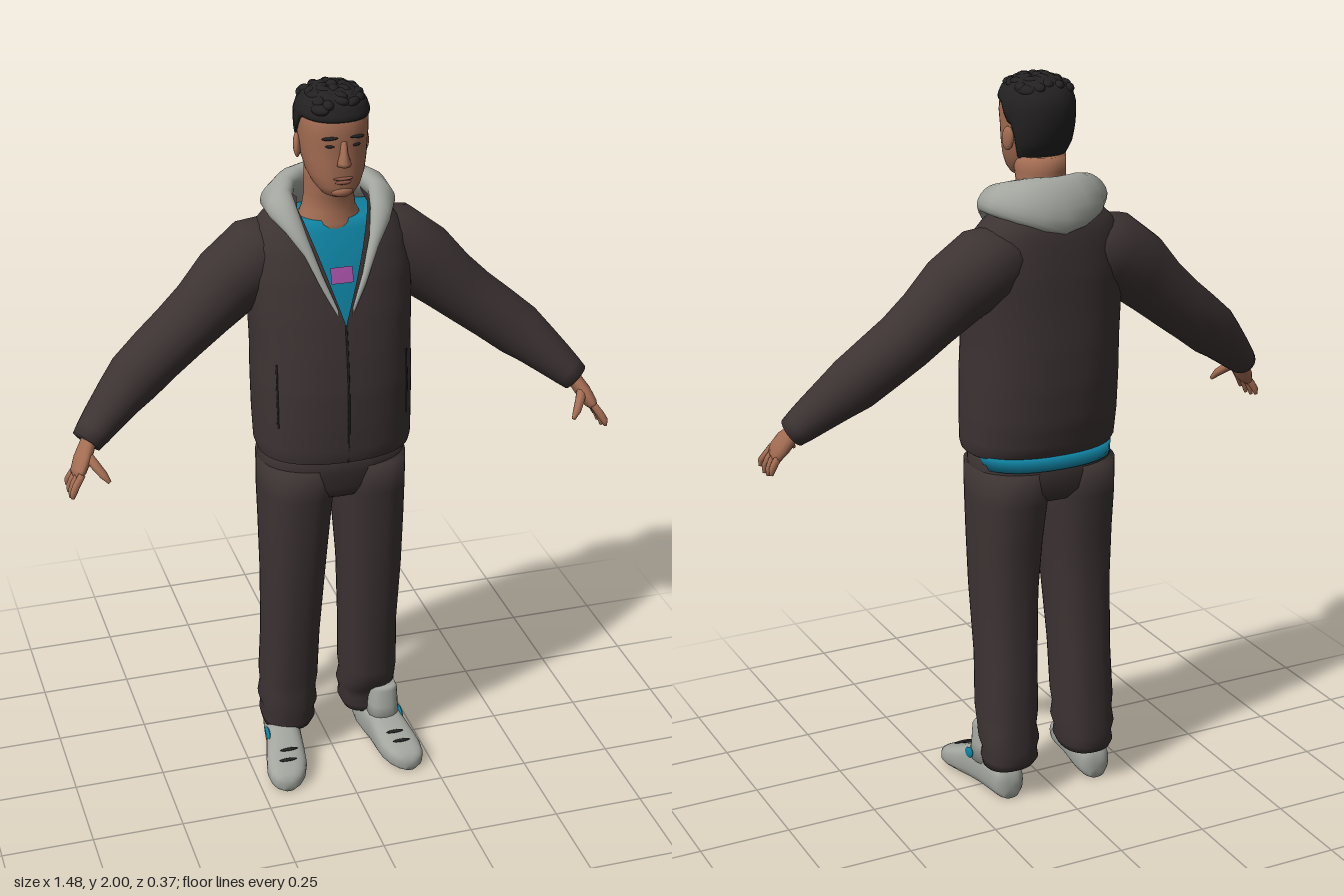
import * as THREE from 'three';

const mat = (name, color, side = THREE.FrontSide) => {
  const m = new THREE.MeshStandardMaterial({ color, side });
  m.name = name;
  return m;
};
const V = (x, y, z) => new THREE.Vector3(x, y, z);

// Skin a list of point rings into one smooth surface, facing outward.
function skin(rings, { closed = true, caps = true } = {}) {
  const n = rings[0].length, pos = [], idx = [];
  rings.forEach(r => r.forEach(p => pos.push(p.x, p.y, p.z)));
  for (let i = 0; i < rings.length - 1; i++)
    for (let j = 0; j < (closed ? n : n - 1); j++) {
      const a = i * n + j, b = i * n + (j + 1) % n;
      idx.push(a, b, b + n, a, b + n, a + n);
    }
  if (caps) [0, rings.length - 1].forEach(k => {
    const c = rings[k].reduce((s, p) => s.add(p), V(0, 0, 0)).divideScalar(n), ci = pos.length / 3;
    pos.push(c.x, c.y, c.z);
    for (let j = 0; j < n; j++) {
      const a = k * n + j, b = k * n + (j + 1) % n;
      k ? idx.push(a, b, ci) : idx.push(b, a, ci);
    }
  });
  const at = i => V(pos[3 * i], pos[3 * i + 1], pos[3 * i + 2]);
  let vol = 0;
  for (let i = 0; i < idx.length; i += 3) vol += at(idx[i]).dot(at(idx[i + 1]).cross(at(idx[i + 2])));
  if (vol < 0) idx.reverse();
  const g = new THREE.BufferGeometry();
  g.setAttribute('position', new THREE.Float32BufferAttribute(pos, 3));
  g.setIndex(idx);
  g.computeVertexNormals();
  return g;
}

// Profile tables: [y, half width, front z, back z].
function row(table, y) {
  let i = 0;
  while (i < table.length - 2 && y > table[i + 1][0]) i++;
  const a = table[i], b = table[i + 1], t = THREE.MathUtils.clamp((y - a[0]) / (b[0] - a[0]), 0, 1);
  return a.map((v, k) => v + (b[k] - v) * t);
}
// Point on an oval section; angle 0 is the front.
const oval = ([y, rx, zf, zb], t, off = 0, n = 2.3, cx = 0) => {
  const p = v => Math.sign(v) * Math.abs(v) ** (2 / n);
  return V(cx + (rx + off) * p(Math.sin(t)), y, (zf + zb) / 2 + ((zf - zb) / 2 + off) * p(Math.cos(t)));
};
const TAU = Math.PI * 2;
const ringOf = (r, off, n, cx, N = 32) => Array.from({ length: N }, (_, j) => oval(r, j / N * TAU, off, n, cx));

// Limb along points [x, y, z, thickness, breadth].
function limb(pts, N = 14) {
  const P = pts.map(p => V(p[0], p[1], p[2]));
  return skin(P.map((p, i) => {
    const d = P[Math.min(i + 1, P.length - 1)].clone().sub(P[Math.max(i - 1, 0)]).normalize();
    const u = V(0, 0, 1).cross(d).normalize(), v = d.clone().cross(u);
    return Array.from({ length: N }, (_, j) => p.clone()
      .addScaledVector(u, pts[i][3] * Math.cos(j / N * TAU))
      .addScaledVector(v, pts[i][4] * Math.sin(j / N * TAU)));
  }));
}

const TORSO = [[1.0, .206, .155, -.148], [1.02, .212, .16, -.162], [1.1, .214, .162, -.178], [1.2, .215, .16, -.185],
  [1.3, .214, .148, -.185], [1.4, .218, .13, -.18], [1.5, .22, .105, -.178], [1.57, .208, .08, -.172],
  [1.62, .185, .055, -.165], [1.66, .14, .035, -.145], [1.69, .09, .01, -.11]];
const HEAD = [[1.718, .02, .08, .03], [1.728, .042, .099, 0], [1.75, .06, .106, -.03], [1.78, .074, .106, -.06],
  [1.82, .082, .107, -.085], [1.86, .086, .107, -.098], [1.895, .088, .112, -.103], [1.93, .087, .106, -.102],
  [1.955, .077, .092, -.09], [1.972, .058, .068, -.07], [1.982, .03, .035, -.04]];
const NECK = [[1.58, .1, .05, -.11], [1.63, .085, .042, -.1], [1.66, .07, .034, -.095], [1.7, .064, .034, -.09],
  [1.75, .066, .05, -.09], [1.79, .066, .05, -.09]];
const LEG = [[.09, .055, .19, .03, -.128], [.115, .043, .195, .042, -.146], [.14, .046, .192, .038, -.14],
  [.17, .038, .2, .05, -.146], [.21, .042, .194, .044, -.14], [.25, .037, .197, .052, -.143], [.4, .034, .192, .066, -.135],
  [.6, .024, .196, .095, -.126], [.75, .012, .199, .108, -.135], [.87, .0, .201, .118, -.15], [.96, .0, .2, .122, -.152]];

export function createModel() {
  const root = new THREE.Group();
  const cloth = mat('charcoal cloth', 0x3d3333, THREE.DoubleSide), grey = mat('pale grey', 0xa3a69f, THREE.DoubleSide);
  const skinTone = mat('skin', 0xa46d53), lip = mat('lips', 0x8a5646), teal = mat('teal shirt', 0x0f83a3, THREE.DoubleSide);
  const pink = mat('pink print', 0xa652a6, THREE.DoubleSide), hairM = mat('black hair', 0x232122, THREE.DoubleSide);
  const add = (name, geo, m) => {
    const o = new THREE.Mesh(geo, m);
    o.name = name;
    root.add(o);
    return o;
  };
  const blob = (name, m, p, s, rot = [0, 0, 0]) => {
    const o = add(name, new THREE.SphereGeometry(1, 14, 10), m);
    o.position.set(...p);
    o.scale.set(...s);
    o.rotation.set(...rot);
    return o;
  };
  const cord = (name, pts, r, m) => add(name, new THREE.TubeGeometry(new THREE.CatmullRomCurve3(pts), 16, r, 6), m);

  // Jacket body, open in a V at the front
  const vWidth = y => Math.max(0, .088 * (y - 1.385) / .27);
  const edge = y => {
    const r = row(TORSO, y);
    return Math.asin(Math.min(.95, (vWidth(y) / r[1]) ** 1.15));
  };
  const ys = Array.from({ length: 36 }, (_, i) => 1 + .69 * i / 35);
  add('jacket', skin(ys.map(y => {
    const a = edge(y);
    return Array.from({ length: 49 }, (_, j) => oval(row(TORSO, y), a + (TAU - 2 * a) * j / 48));
  }), { closed: false, caps: false }), cloth);
  const hem = [1, .198, .145, -.14];
  add('jacketUnderside', skin([ringOf(hem, .006), ringOf([1.005, ...hem.slice(1)], .004)]), cloth);
  cord('zip', [1.0, 1.1, 1.2, 1.3, 1.385].map(y => oval(row(TORSO, y), 0)), .003, hairM);

  // Shirt, printed band and shirt tail below the jacket
  add('shirt', skin([1.3, 1.4, 1.5, 1.57, 1.615, 1.64].map(y => ringOf(row(TORSO, y), -.012))), teal);
  add('shirtPrint', skin([1.49, 1.51, 1.53].map(y => Array.from({ length: 7 }, (_, j) =>
    oval(row(TORSO, y), (j - 3) * .035, -.007))), { closed: false, caps: false }), pink);
  add('shirtTail', skin([[.968, .19, .09, -.157], [1.005, .195, .1, -.156]].map(r => ringOf(r, 0))), teal);

  // Hood folded round the neck: [x, y, z, radial size, height, inward lean]
  const half = [[0, 1.675, -.135, .04, .072, .02], [.045, 1.682, -.13, .042, .066, .02], [.09, 1.69, -.105, .042, .056, .02],
    [.128, 1.692, -.06, .04, .043, .02], [.136, 1.683, -.005, .032, .036, .015], [.118, 1.65, .042, .025, .03, .01],
    [.09, 1.59, .078, .014, .024, .004], [.056, 1.5, .107, .008, .02, .002], [.02, 1.42, .126, .003, .01, 0]];
  const hood = [...half.slice(1).reverse().map(p => [-p[0], ...p.slice(1)]), ...half];
  add('hood', skin(hood.map(([x, y, z, a, b, lean]) => {
    const r = V(x, 0, z + .03).normalize();
    return Array.from({ length: 18 }, (_, j) => {
      const t = j / 18 * TAU;
      return V(x, y + b * Math.sin(t), z).addScaledVector(r, a * Math.cos(t) - lean * Math.sin(t));
    });
  })), grey);

  // Head and neck
  add('neck', skin(NECK.map(r => ringOf(r, 0, 2))), skinTone);
  add('head', skin(HEAD.map(r => ringOf(r, 0, 2.25))), skinTone);
  add('nose', skin([[1.806, .008, .112, .09], [1.812, .018, .128, .09], [1.822, .017, .134, .09], [1.845, .01, .122, .09],
    [1.875, .008, .114, .09]].map(r => ringOf(r, 0, 2, 0, 12))), skinTone);
  blob('chin', skinTone, [0, 1.74, .09], [.03, .017, .02]);
  blob('upperLip', lip, [0, 1.776, .103], [.026, .005, .009]);
  blob('lowerLip', lip, [0, 1.766, .102], [.022, .006, .009]);

  // Hair cap following a hairline, with loose locks on the crown
  const hairline = t => {
    const a = Math.abs(t > Math.PI ? t - TAU : t), s = THREE.MathUtils.smoothstep;
    return 1.925 - .05 * s(a, 1.35, 1.75) - .1 * s(a, 1.8, 2.2);
  };
  add('hair', skin(Array.from({ length: 14 }, (_, i) => Array.from({ length: 48 }, (_, j) => {
    const t = j / 48 * TAU, y = THREE.MathUtils.lerp(hairline(t), 1.982, i / 13);
    const p = oval(row(HEAD, y), t, .003 + .005 * Math.min(1, i / 3), 2.25);
    p.y += .008 * Math.max(0, (y - 1.94) / .042);
    return p;
  }))), hairM).geometry.computeVertexNormals();
  let seed = 7;
  const rnd = () => (seed = seed * 16807 % 2147483647) / 2147483647 - .5;
  for (let i = -2; i <= 2; i++) for (let k = -2; k <= 3; k++) {
    const x = i * .028 + rnd() * .012, z = k * .028 - .005 + rnd() * .012;
    if (Math.hypot(x, z) > .098) continue;
    blob('hairLock', hairM, [x, 1.985 - 4 * x * x - 3.2 * z * z, z], [.016, .013, .026], [.3 * rnd(), 1.6 * rnd(), rnd()]);
  }

  for (const s of [1, -1]) {
    const side = s > 0 ? 'left' : 'right';
    const m = pts => pts.map(([x, ...r]) => [x * s, ...r]);

    // Face details
    blob(side + 'Ear', skinTone, [s * .088, 1.835, -.012], [.01, .032, .02], [-.15, s * .3, 0]);
    blob(side + 'Eye', hairM, [s * .034, 1.862, .1], [.012, .004, .005], [0, s * .25, 0]);
    blob(side + 'Brow', hairM, [s * .036, 1.884, .104], [.021, .0045, .006], [0, s * .3, s * -.08]);

    // Sleeve
    add(side + 'Sleeve', limb(m([[.1, 1.56, -.07, .075, .085], [.18, 1.525, -.068, .105, .1], [.265, 1.465, -.056, .1, .092],
      [.335, 1.4, -.048, .087, .084], [.4, 1.345, -.042, .081, .082], [.465, 1.295, -.03, .078, .079], [.53, 1.243, -.014, .075, .074],
      [.575, 1.205, .006, .064, .067], [.625, 1.16, .03, .053, .058], [.655, 1.132, .045, .046, .052], [.676, 1.112, .056, .04, .046]]), 20), cloth);
    cord(side + 'PocketSeam', [1.1, 1.16, 1.22, 1.28].map(y => oval(row(TORSO, y), s * .92)), .003, hairM);

    // Hand
    add(side + 'Palm', limb(m([[.655, 1.135, .05, .022, .028], [.675, 1.105, .062, .02, .03], [.692, 1.078, .08, .021, .04],
      [.708, 1.05, .097, .017, .04], [.714, 1.038, .101, .01, .034]])), skinTone);
    [[.07, 1.0, .064], [.09, .992, .09], [.111, .99, .118], [.13, 1.0, .146]].forEach(([z0, y1, z1], i) =>
      add(side + 'Finger' + (i + 1), limb(m([[.704, 1.056, z0, .01, .01], [.722, 1.03, (z0 + z1) / 2, .0105, .0105],
        [.731, (1.03 + y1) / 2, z1, .0095, .0095], [.734, y1, z1, .005, .005]]), 8), skinTone));
    add(side + 'Thumb', limb(m([[.685, 1.095, .085, .013, .015], [.668, 1.075, .118, .013, .013], [.65, 1.053, .142, .011, .011],
      [.637, 1.035, .152, .005, .005]]), 8), skinTone);

    // Trouser leg; the left cuff sits behind the shoe tongue
    add(side + 'TrouserLeg', skin(LEG.map(([y, xi, xo, zf, zb]) =>
      ringOf([y, (xo - xi) / 2, s > 0 && y < .19 ? zf - .035 : zf, zb], 0, 2.4, s * (xi + xo) / 2))), cloth);

    // Shoe
    const shoe = [[-.112, .135, .026, .06], [-.1, .135, .042, .09], [-.06, .137, .048, .105], [-.01, .143, .05, .115], [.035, .152, .052, .112],
      [.08, .16, .056, .09], [.125, .168, .058, .07], [.16, .174, .05, .058], [.178, .177, .038, .048], [.188, .178, .018, .034]];
    add(side + 'Shoe', skin(shoe.map(([z, cx, w, h]) => ringOf([0, w, h, 0], 0, 2.8, s * cx, 24).map(p => V(p.x, p.z, z)))), grey);
    if (s > 0) add('leftShoeTongue', skin([[.08, .046, .062, -.05], [.13, .043, .052, -.04], [.18, .04, .046, -.03], [.19, .035, .04, -.025]]
      .map(r => ringOf(r, 0, 2.4, .15, 20))), grey);
    for (const [z, y] of [[.105, .082], [.135, .069]])
      blob(side + 'ShoeTrim', hairM, [s * (.12 + z * .35), y, z], [.026, .004, .005], [.4, 0, 0]);
    blob(side + 'ShoePatch', teal, [s * .197, .09, .03], [.006, .016, .026], [.5, 0, 0]);
  }

  // Trouser seat
  add('trouserSeat', skin([[.87, .11, .1, -.125], [.9, .19, .11, -.145], [.95, .199, .122, -.152], [1.02, .197, .13, -.145]]
    .map(r => ringOf(r, 0))), cloth);
  return root;
}
